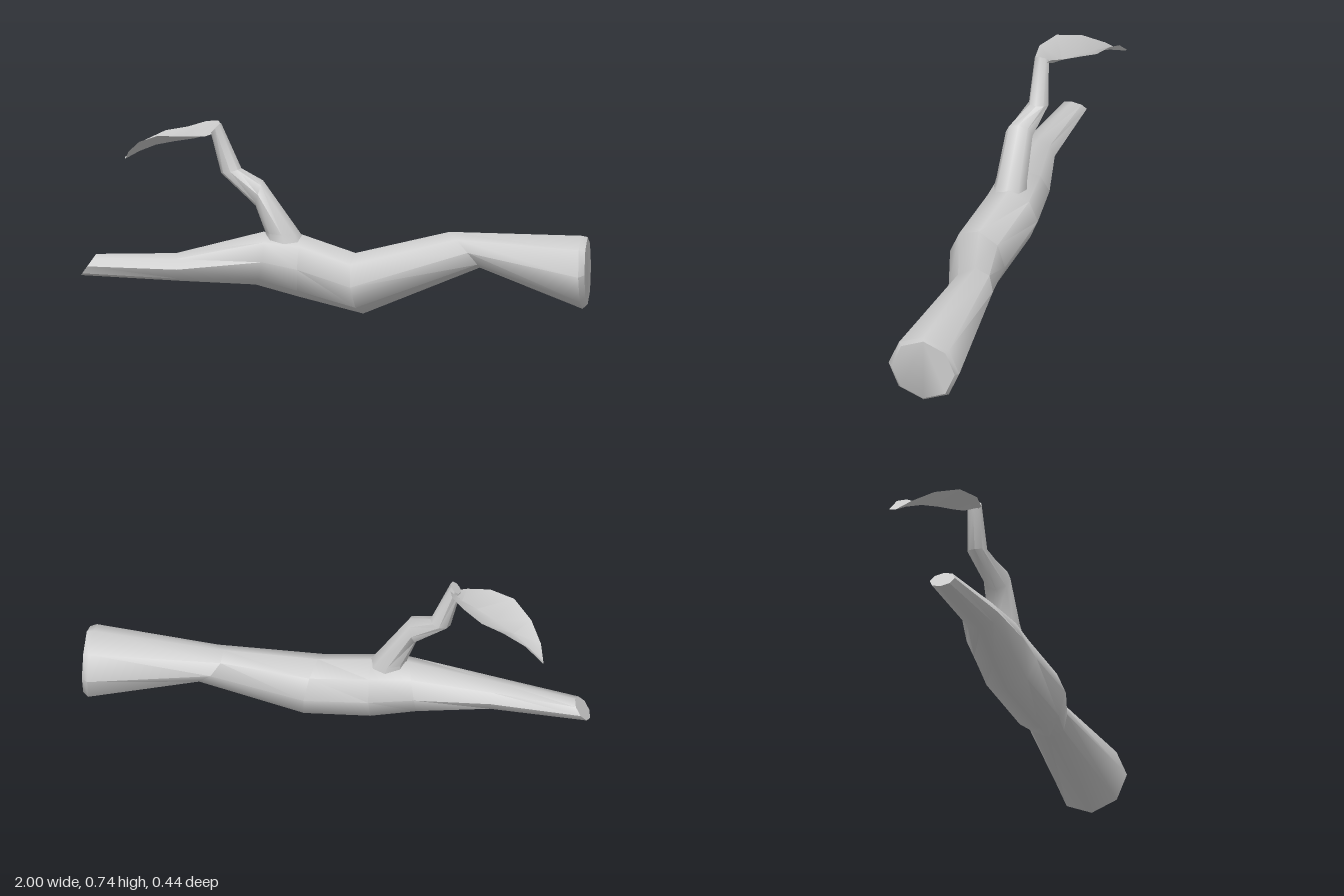
import * as THREE from 'three';
import { toCreasedNormals } from 'three/addons/utils/BufferGeometryUtils.js';

const SIDES = 8;

// Octagonal loft. Each ring: [upper x, upper y, lower x, lower y, back z, front z, x shift towards front]
function loft(rings) {
  const pos = [], idx = [];
  for (const [ux, uy, lx, ly, zb, zf, skew = 0] of rings) {
    for (let k = 0; k < SIDES; k++) {
      const a = (k / SIDES) * Math.PI * 2, c = Math.cos(a), s = Math.sin(a);
      pos.push(
        (ux + lx) / 2 + (c * (ux - lx)) / 2 + s * skew,
        (uy + ly) / 2 + (c * (uy - ly)) / 2,
        (zb + zf) / 2 + (s * (zf - zb)) / 2
      );
    }
  }
  for (let i = 0; i < rings.length - 1; i++) {
    for (let k = 0; k < SIDES; k++) {
      const a = i * SIDES + k, b = i * SIDES + ((k + 1) % SIDES);
      idx.push(a, a + SIDES, b, b, a + SIDES, b + SIDES);
    }
  }
  // flat end caps
  const last = (rings.length - 1) * SIDES;
  for (let k = 1; k < SIDES - 1; k++) {
    idx.push(0, k, k + 1, last, last + k + 1, last + k);
  }
  return build(pos, idx);
}

function build(pos, idx) {
  const g = new THREE.BufferGeometry();
  g.setAttribute('position', new THREE.Float32BufferAttribute(pos, 3));
  g.setIndex(idx);
  return toCreasedNormals(g, 0.85);
}

// Leaf blade: smooth back edge, low midrib and front edge joined row by row
function leafGeometry() {
  const edges = [
    [[-0.85, 0.565, -0.225], [-0.78, 0.63, -0.213], [-0.69, 0.675, -0.2], [-0.6, 0.695, -0.175],
      [-0.52, 0.725, -0.13], [-0.47, 0.735, -0.08], [-0.455, 0.73, -0.03]],
    [[-0.852, 0.56, -0.215], [-0.79, 0.595, -0.175], [-0.72, 0.628, -0.13], [-0.64, 0.65, -0.085],
      [-0.56, 0.668, -0.045], [-0.5, 0.688, -0.025], [-0.455, 0.71, -0.005]],
    [[-0.848, 0.56, -0.2], [-0.83, 0.597, -0.14], [-0.78, 0.648, -0.06], [-0.7, 0.685, 0.02],
      [-0.6, 0.69, 0.06], [-0.51, 0.69, 0.052], [-0.455, 0.705, 0.01]],
  ];
  const rows = edges[0].length, pos = edges.flat(2), idx = [];
  for (let e = 0; e < 2; e++) {
    for (let i = 0; i < rows - 1; i++) {
      const a = e * rows + i, b = a + rows;
      idx.push(a, b, a + 1, a + 1, b, b + 1);
    }
  }
  return build(pos, idx);
}

export function createModel() {
  const group = new THREE.Group();
  const bark = new THREE.MeshStandardMaterial({ color: 0xcccccc });
  const blade = new THREE.MeshStandardMaterial({ color: 0xcccccc, side: THREE.DoubleSide });
  const add = (name, geometry, material) => {
    const mesh = new THREE.Mesh(geometry, material);
    mesh.name = name;
    group.add(mesh);
  };

  // crooked main branch, thick end to thin end
  add('mainBranch', loft([
    [1.0, 0.315, 1.0, 0.048, -0.078, 0.18],
    [0.975, 0.32, 0.98, 0.03, -0.09, 0.2],
    [0.45, 0.32, 0.57, 0.18, -0.08, 0.09, 0.02],
    [0.09, 0.245, 0.12, 0.005, -0.02, 0.22, -0.025],
    [-0.13, 0.308, -0.14, 0.06, -0.075, 0.165],
    [-0.28, 0.315, -0.31, 0.105, -0.068, 0.152, 0.02],
    [-0.62, 0.23, -0.6, 0.12, 0.0, 0.15],
    [-0.94, 0.215, -1.0, 0.13, -0.022, 0.08],
  ]), bark);

  // side twig rising from the branch
  add('twig', loft([
    [-0.09, 0.24, -0.27, 0.24, -0.02, 0.13],
    [-0.13, 0.31, -0.27, 0.315, -0.01, 0.115],
    [-0.28, 0.52, -0.31, 0.42, -0.004, 0.105],
    [-0.37, 0.56, -0.45, 0.54, -0.035, 0.045],
    [-0.45, 0.74, -0.49, 0.7, -0.018, 0.04],
  ]), bark);

  add('leaf', leafGeometry(), blade);
  return group;
}
